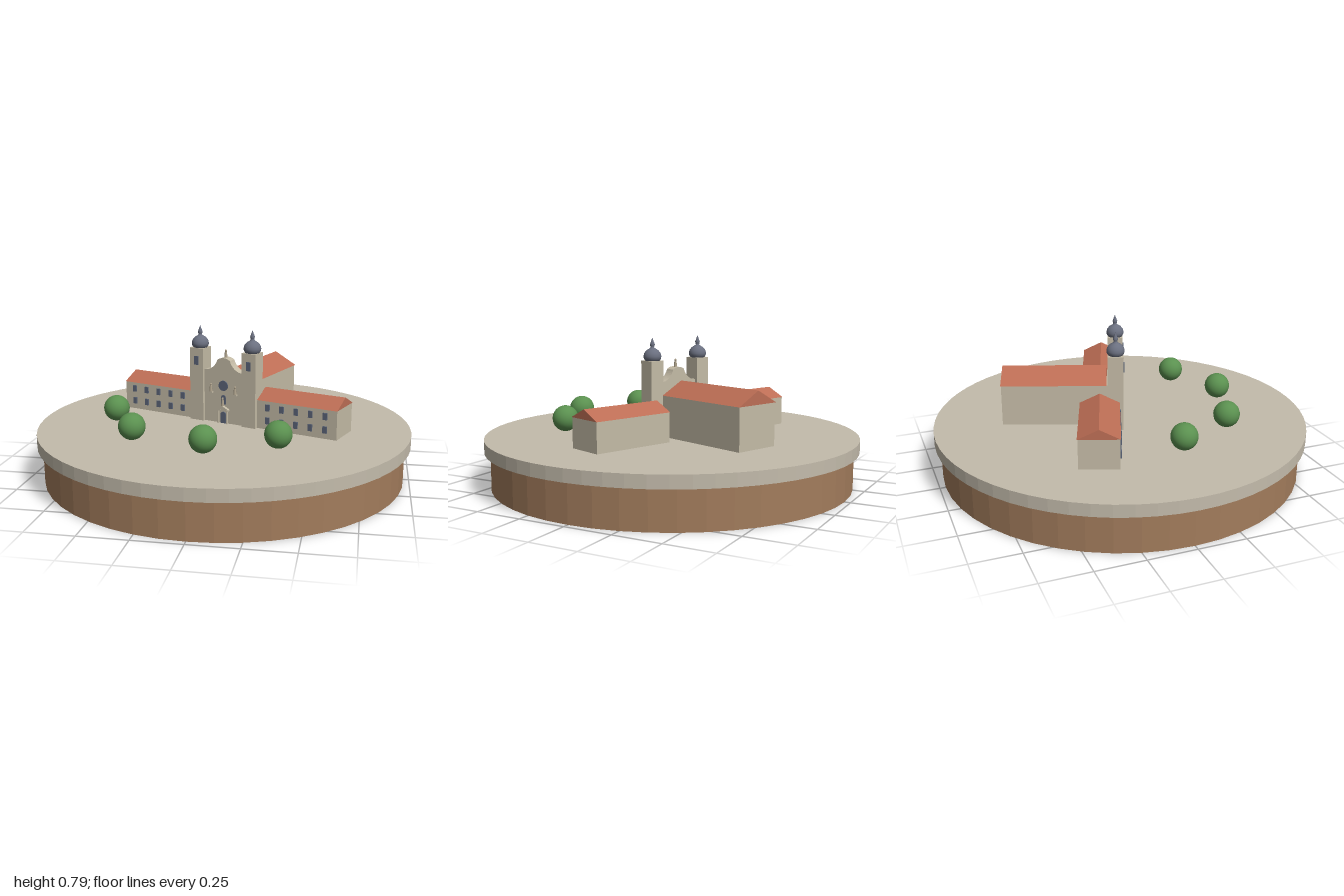
import * as THREE from 'three';

const GROUND = 0.265;

function mat(name, color, flatShading = false) {
  const m = new THREE.MeshStandardMaterial({ color, flatShading });
  m.name = name;
  return m;
}

export function createModel() {
  const wood = mat('wood', 0xa27c5c, true);
  const paving = mat('paving', 0xc3bbab, true);
  const wall = mat('wall', 0xc4bba6);
  const roofTile = mat('roof tile', 0xbd6e55);
  const slate = mat('slate', 0x6b7080);
  const glass = mat('glass', 0x5a6478);
  const statueStone = mat('statue stone', 0xb0a48e);
  const leaf = mat('leaf', 0x5b9150);

  const model = new THREE.Group();

  function add(parent, name, geometry, material, x = 0, y = 0, z = 0) {
    const mesh = new THREE.Mesh(geometry, material);
    mesh.name = name;
    mesh.position.set(x, y, z);
    parent.add(mesh);
    return mesh;
  }
  const box = (w, h, d) => new THREE.BoxGeometry(w, h, d);

  // Triangular roof running along z, centred, with its eaves at y = 0
  function gableRoof(width, height, length) {
    const s = new THREE.Shape();
    s.moveTo(-width / 2, 0);
    s.lineTo(width / 2, 0);
    s.lineTo(0, height);
    s.closePath();
    const g = new THREE.ExtrudeGeometry(s, { depth: length, bevelEnabled: false });
    return g.translate(0, 0, -length / 2);
  }

  // Arched plate standing on y = 0
  function archPlate(w, h, depth) {
    const s = new THREE.Shape();
    s.moveTo(-w / 2, 0);
    s.lineTo(w / 2, 0);
    s.lineTo(w / 2, h - w / 2);
    s.absarc(0, h - w / 2, w / 2, 0, Math.PI, false);
    s.closePath();
    return new THREE.ExtrudeGeometry(s, { depth, bevelEnabled: false, curveSegments: 8 });
  }

  // Round base
  add(model, 'woodenBase', new THREE.CylinderGeometry(0.97, 0.97, 0.2, 48), wood, 0, 0.1, 0);
  add(model, 'pavedGround', new THREE.CylinderGeometry(1, 1, GROUND - 0.2, 64), paving, 0, (GROUND + 0.2) / 2, 0);

  // Church and wings, turned on the base
  const church = new THREE.Group();
  church.name = 'church';
  church.rotation.y = -THREE.MathUtils.degToRad(20);
  church.position.set(-0.003, 0, -0.001);
  model.add(church);

  // Nave
  add(church, 'naveWalls', box(0.25, 0.485 - GROUND, 0.57), wall, 0, (0.485 + GROUND) / 2, -0.34);
  add(church, 'naveRoof', gableRoof(0.262, 0.07, 0.557), roofTile, 0, 0.485, -0.3495);

  // Bulbous tower roof with a drop-shaped finial
  const domeProfile = [
    [0, 0], [0.038, 0], [0.045, 0.012], [0.047, 0.024], [0.043, 0.04], [0.032, 0.054],
    [0.018, 0.063], [0.009, 0.07], [0.011, 0.078], [0.013, 0.085], [0.01, 0.094], [0.005, 0.107], [0, 0.121],
  ].map(([r, y]) => new THREE.Vector2(r, y));
  const domeGeometry = new THREE.LatheGeometry(domeProfile, 24);

  // Standing figure with its feet at y
  function statue(name, x, y, z, h) {
    const g = new THREE.Group();
    g.name = name;
    g.position.set(x, y, z);
    church.add(g);
    add(g, 'figureBody', new THREE.CylinderGeometry(h * 0.13, h * 0.2, h * 0.75, 8), statueStone, 0, h * 0.375, 0);
    add(g, 'figureHead', new THREE.SphereGeometry(h * 0.14, 8, 6), statueStone, 0, h * 0.86, 0);
  }

  for (const side of [-1, 1]) {
    // Tower
    const tx = side * 0.161;
    add(church, 'tower', box(0.083, 0.668 - GROUND, 0.083), wall, tx, (0.668 + GROUND) / 2, -0.025);
    add(church, 'towerDome', domeGeometry, slate, tx, 0.667, -0.025);
    add(church, 'towerWindow', box(0.026, 0.048, 0.006), glass, tx, 0.6, 0.018);

    // Wing with two rows of windows
    const wx = side * 0.43;
    add(church, 'wingWalls', box(0.456, 0.42 - GROUND, 0.2), wall, wx, (0.42 + GROUND) / 2, -0.107);
    const roof = add(church, 'wingRoof', gableRoof(0.208, 0.05, 0.46), roofTile, wx, 0.42, -0.107);
    roof.rotation.y = Math.PI / 2;
    for (let i = -2; i <= 2; i++) {
      for (const y of [0.314, 0.385]) {
        add(church, 'wingWindow', box(0.023, 0.036, 0.009), glass, wx + i * 0.082, y, -0.003);
      }
    }

    // Portal column and figures beside the rose window
    add(church, 'portalColumn', new THREE.CylinderGeometry(0.006, 0.006, 0.072, 8), wall, side * 0.027, GROUND + 0.036, 0.01);
    add(church, 'statueLedge', box(0.022, 0.008, 0.014), wall, side * 0.075, 0.432, 0.007);
    statue('facadeStatue', side * 0.075, 0.436, 0.008, 0.045);
  }

  // Facade with a curved gable between the towers
  const f = new THREE.Shape();
  f.moveTo(-0.125, GROUND);
  f.lineTo(0.125, GROUND);
  f.lineTo(0.125, 0.552);
  f.lineTo(0.095, 0.555);
  f.quadraticCurveTo(0.052, 0.572, 0.038, 0.614);
  f.quadraticCurveTo(0, 0.638, -0.038, 0.614);
  f.quadraticCurveTo(-0.052, 0.572, -0.095, 0.555);
  f.lineTo(-0.125, 0.552);
  f.closePath();
  const facade = new THREE.ExtrudeGeometry(f, { depth: 0.05, bevelEnabled: false, curveSegments: 8 });
  add(church, 'facade', facade, wall, 0, 0, -0.05);
  statue('gableStatue', 0, 0.624, -0.025, 0.045);

  // Rose window, portal and the figure above it
  const rose = new THREE.CylinderGeometry(0.028, 0.028, 0.008, 24).rotateX(Math.PI / 2);
  add(church, 'roseWindow', rose, glass, 0, 0.474, 0.002);
  add(church, 'door', archPlate(0.034, 0.064, 0.006), glass, 0, GROUND, 0);
  add(church, 'portalLintel', box(0.074, 0.008, 0.02), wall, 0, 0.341, 0.009);
  add(church, 'portalPediment', gableRoof(0.074, 0.02, 0.018), wall, 0, 0.345, 0.009);
  add(church, 'niche', archPlate(0.028, 0.052, 0.003), glass, 0, 0.37, 0);
  statue('portalStatue', 0, 0.365, 0.01, 0.045);

  // Round trees on the forecourt
  const crown = new THREE.SphereGeometry(0.069, 24, 16);
  for (const [x, z] of [[-0.567, 0.122], [-0.389, 0.446], [0.002, 0.59], [0.347, 0.456]]) {
    add(model, 'treeCrown', crown, leaf, x, 0.357, z);
  }

  return model;
}
